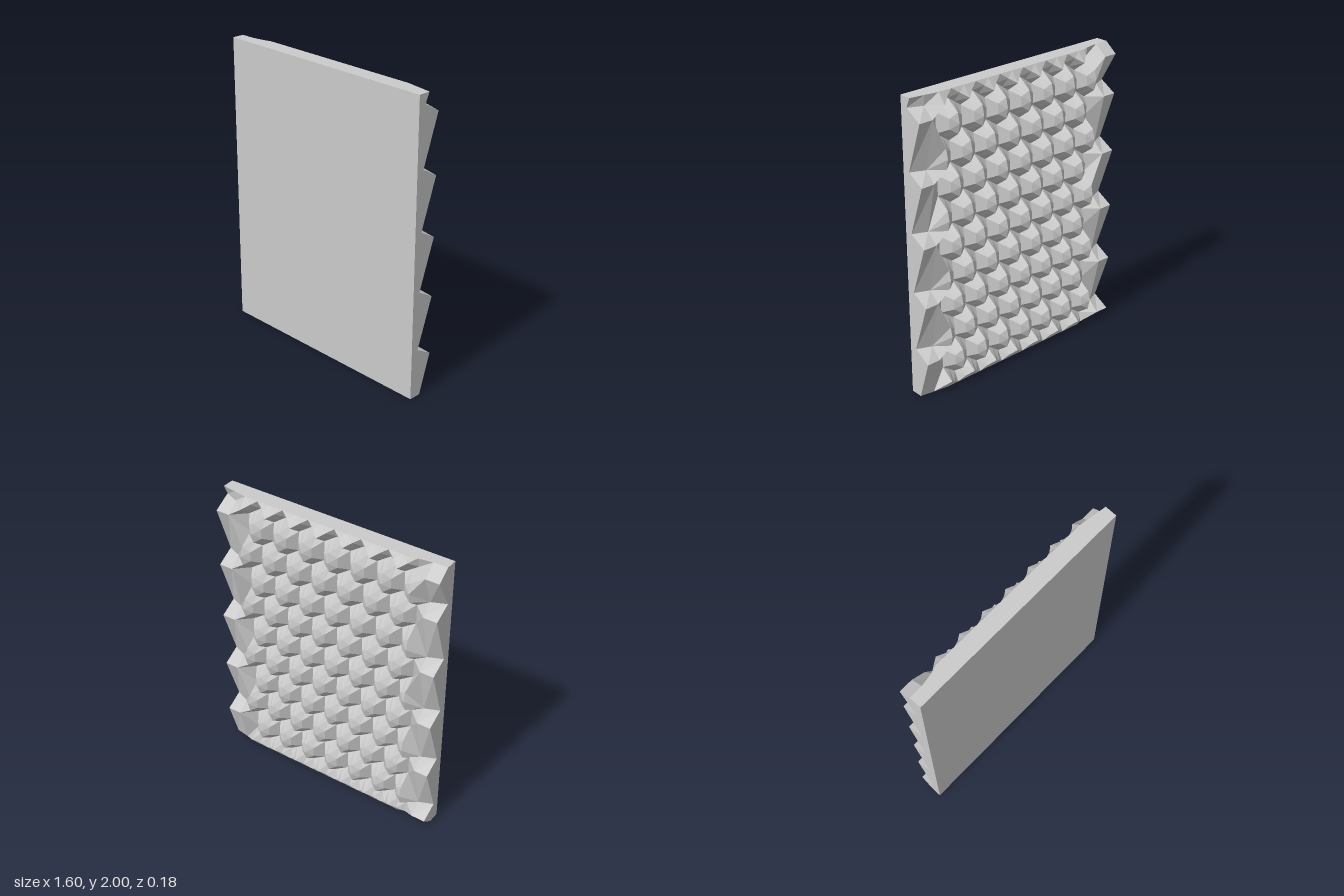
import * as THREE from 'three';

const W = 1.6, COLS = 17, FRONT = 0.092;
const ROW = 1 / 15; // height unit: 30 units over the full height
const PEAK = -0.09, SHOULDER = -0.075, FLANK = -0.055, VALLEY = 0.015, EDGE = -0.02, RIM = 0.01;

const point = (n, j, z) => new THREE.Vector3(-W / 2 + (n * W) / COLS, j * ROW, z);

// Saw-toothed border column: each tooth has a tip with a notch just above it
function toothColumn(n, firstTip, notch, rim) {
  const col = [point(n, 0, rim)];
  for (let j = firstTip; j < 30; j += 6) {
    col.push(point(n, j, SHOULDER));
    col.push(point(n, j + 1, notch));
  }
  if (firstTip === 1) col.push(point(n, 29, SHOULDER));
  col.push(point(n, 30, rim));
  return col;
}

// Column through the middle of the bumps, staggered from column to column
function bumpColumn(n) {
  const phase = n % 2 === 0 ? 3 : 0;
  const rim = n === 2 ? -0.005 : EDGE;
  const heights = [PEAK, SHOULDER, VALLEY, null, VALLEY, SHOULDER];
  const col = [point(n, 0, rim)];
  for (let j = 1; j < 30; j++) {
    const z = heights[(j - phase + 6) % 6];
    if (z !== null) col.push(point(n, j, z));
  }
  col.push(point(n, 30, rim));
  return col;
}

// Column half way between, along the flanks of the bumps
function flankColumn(n) {
  const col = [point(n, 0, EDGE)];
  for (let j = 0; j < 30; j++) {
    const outer = j === 0 || j === 29;
    col.push(point(n, j + 0.5, j % 3 === 1 ? VALLEY : outer ? -0.04 : FLANK));
  }
  col.push(point(n, 30, EDGE));
  return col;
}

// Zip two neighbouring columns together, always taking the shorter diagonal
function zip(a, b, tris) {
  const cost = (p, q) => (p && q ? Math.abs(p.y - q.y) : Infinity);
  let i = 0, k = 0;
  while (i < a.length - 1 || k < b.length - 1) {
    if (cost(a[i + 1], b[k]) <= cost(a[i], b[k + 1])) {
      tris.push(a[i], a[i + 1], b[k]);
      i++;
    } else {
      tris.push(a[i], b[k + 1], b[k]);
      k++;
    }
  }
}

function facetedMesh(name, points) {
  const geometry = new THREE.BufferGeometry().setFromPoints(points);
  geometry.computeVertexNormals();
  const material = new THREE.MeshStandardMaterial({ color: 0xcccccc, flatShading: true });
  const mesh = new THREE.Mesh(geometry, material);
  mesh.name = name;
  return mesh;
}

export function createModel() {
  const group = new THREE.Group();
  group.name = 'spikedPanel';

  const columns = [toothColumn(0, 1, 0.04, RIM), toothColumn(1, 1, 0, RIM)];
  for (let n = 2; n < COLS - 1; n++) {
    columns.push(bumpColumn(n));
    if (n < COLS - 2) columns.push(flankColumn(n + 0.5));
  }
  columns.push(toothColumn(COLS - 1, 4, 0, -0.005), toothColumn(COLS, 4, 0.04, RIM));

  // Back covered in staggered six-sided bumps with steep skirts
  const back = [];
  for (let n = 0; n < columns.length - 1; n++) zip(columns[n], columns[n + 1], back);
  group.add(facetedMesh('bumpyBack', back));

  // Side walls follow the rim of the back
  const rim = [
    ...columns.map((c) => c[0]),
    ...columns.at(-1).slice(1),
    ...columns.slice(0, -1).reverse().map((c) => c.at(-1)),
    ...columns[0].slice(1, -1).reverse(),
  ];
  const walls = [];
  rim.forEach((a, i) => {
    const b = rim[(i + 1) % rim.length];
    const af = a.clone().setZ(FRONT), bf = b.clone().setZ(FRONT);
    walls.push(a, b, bf, a, bf, af);
  });
  group.add(facetedMesh('sideWalls', walls));

  // Flat front
  const front = new THREE.Mesh(
    new THREE.PlaneGeometry(W, 2),
    new THREE.MeshStandardMaterial({ color: 0xcccccc, flatShading: true })
  );
  front.name = 'frontFace';
  front.position.set(0, 1, FRONT);
  group.add(front);

  return group;
}
